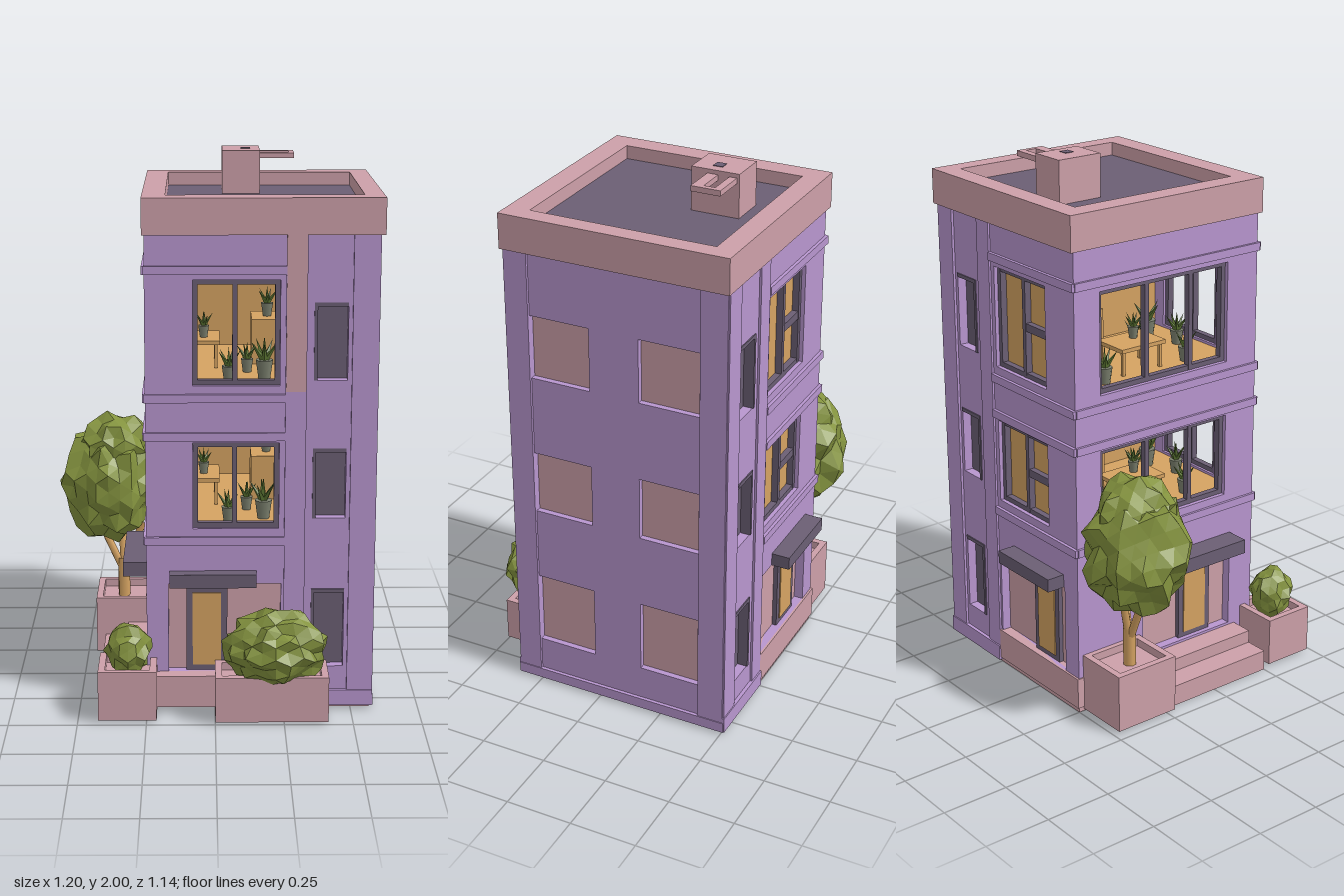
import * as THREE from 'three';

const mat = (name, color, extra = {}) => {
  const m = new THREE.MeshStandardMaterial({ color, ...extra });
  m.name = name;
  return m;
};

export function createModel() {
  const root = new THREE.Group();
  root.name = 'townhouse';
  const lilac = mat('lilac wall', 0xb896cf);
  const pink = mat('pink stone', 0xcda0a9);
  const slate = mat('slate purple', 0x6b5f74);
  const tan = mat('warm timber', 0xd5a362);
  const leaf = mat('foliage green', 0x84933f, { flatShading: true });
  const plant = mat('houseplant green', 0x5f7a35, { flatShading: true });
  const potGrey = mat('pot grey', 0x7d8270);

  const add = (parent, name, geo, m) => {
    const mesh = new THREE.Mesh(geo, m);
    mesh.name = name;
    parent.add(mesh);
    return mesh;
  };
  // Box given by its limits on each axis
  const box = (parent, name, m, x0, x1, y0, y1, z0, z1) => {
    const b = add(parent, name, new THREE.BoxGeometry(Math.abs(x1 - x0), y1 - y0, Math.abs(z1 - z0)), m);
    b.position.set((x0 + x1) / 2, (y0 + y1) / 2, (z0 + z1) / 2);
    return b;
  };
  const rect = (P, a, b, c, d) => {
    const p = new P();
    p.moveTo(a, c);
    p.lineTo(b, c);
    p.lineTo(b, d);
    p.lineTo(a, d);
    p.closePath();
    return p;
  };
  // Slab with rectangular holes [u0, u1, v0, v1]
  const pierced = (outer, holes, depth) => {
    const s = rect(THREE.Shape, ...outer);
    holes.forEach(h => s.holes.push(rect(THREE.Path, ...h)));
    return new THREE.ExtrudeGeometry(s, { depth, bevelEnabled: false });
  };
  const TOP = 1.78, T = 0.05;
  const floors = [[0.69, 1.01], [1.22, 1.6]];
  const smallRows = [[0.16, 0.46], [0.73, 0.99], [1.24, 1.52]];

  // One side of the house: u runs along it, d is its distance outward; s mirrors u
  const side = (name, angle, s, d, u0, u1, holes) => {
    const g = new THREE.Group();
    g.name = name;
    g.rotation.y = angle;
    root.add(g);
    const flip = ([a, b, c, e]) => (s > 0 ? [a, b, c, e] : [-b, -a, c, e]);
    const wall = add(g, 'wall', pierced(flip([u0, u1, 0.02, TOP]), holes.map(flip), T), lilac);
    wall.position.z = d - T;
    return (n, m, a, b, y0, y1, z0, z1) => box(g, n, m, s * a, s * b, y0, y1, d + z0, d + z1);
  };
  // Slate window frame with mullions and optional short transom
  const frame = (put, a, b, y0, y1, mullions, transom) => {
    const t = 0.018;
    [a, b - t, ...mullions.map(m => m - t / 2)].forEach(u => put('windowFrame', slate, u, u + t, y0, y1, -0.04, -0.015));
    [y0, y1 - t].forEach(y => put('windowFrame', slate, a, b, y, y + t, -0.04, -0.016));
    if (transom) put('windowTransom', slate, a, mullions[0], (y0 + y1) / 2 - 0.015, (y0 + y1) / 2 + 0.015, -0.04, -0.017);
  };
  // Ground-floor entrance: recessed pink wall, framed door
  const entrance = (put, a, b, door) => {
    put('entranceWall', pink, a - 0.01, b + 0.01, 0.13, 0.49, -0.06, -0.035);
    put('doorFrame', slate, door - 0.075, door + 0.075, 0.14, 0.47, -0.036, -0.018);
    put('doorPanel', tan, door - 0.052, door + 0.052, 0.16, 0.44, -0.02, -0.014);
  };

  // Front and back share one layout, mirrored
  const bay = [[-0.17, 0.24, 0.14, 0.48], ...floors.map(f => [-0.08, 0.23, ...f])];
  const slots = smallRows.map(r => [0.35, 0.47, ...r]);
  [['front', 0, 1, 0.33], ['back', Math.PI, -1, 0.5]].forEach(([name, angle, s, d]) => {
    const put = side(name, angle, s, d, -0.25, 0.57, [...bay, ...slots]);
    floors.forEach(([y0, y1]) => frame(put, -0.08, 0.23, y0, y1, [0.07], s < 0));
    smallRows.forEach(([y0, y1]) => {
      put('sideWindow', slate, 0.34, 0.48, y0 - 0.01, y1 + 0.01, -0.06, -0.035);
      put('sideWindowTrim', slate, 0.35, 0.362, y0, y1, -0.035, 0.004);
      put('sideWindowHead', slate, 0.35, 0.47, y1 - 0.014, y1, -0.035, 0.004);
    });
    entrance(put, -0.17, 0.24, -0.03);
    put('doorAwning', slate, -0.165, 0.15, 0.48, 0.53, -0.01, s > 0 ? 0.05 : 0.07);
    [[0.63, 0.66], [1.02, 1.05], [1.16, 1.19], [1.62, 1.65]].forEach(([y0, y1]) =>
      put('floorBand', lilac, -0.255, 0.25, y0, y1, -0.02, 0.012));
    put('cornerPilaster', lilac, 0.485, 0.575, 0.02, TOP, -0.02, 0.01);
    put('bayPilaster', lilac, 0.25, 0.325, 0.02, TOP, -0.02, 0.008);
    if (s > 0) put('pinkStrip', pink, 0.252, 0.323, 1.2, TOP, 0.004, 0.011);
    put('entranceBase', pink, -0.255, s > 0 ? 0 : 0.25, 0.02, 0.14, -0.05, s > 0 ? 0.05 : 0.008);
    put('plinth', lilac, 0.25, 0.58, 0.01, 0.07, -0.02, 0.014);
  });

  // Left side of the plan: wide open windows and a side door (u = z)
  const putL = side('openSide', -Math.PI / 2, 1, 0.25, -0.5, 0.33,
    [[-0.2, 0.22, 0.14, 0.48], ...floors.map(f => [-0.39, 0.19, ...f])]);
  floors.forEach(([y0, y1]) => frame(putL, -0.39, 0.19, y0, y1, [-0.17, 0.03], false));
  entrance(putL, -0.2, 0.22, 0.06);
  putL('sideAwning', slate, -0.17, 0.22, 0.47, 0.525, -0.01, 0.09);
  [[0.63, 0.66], [1.02, 1.05], [1.16, 1.19], [1.62, 1.65]].forEach(([y0, y1]) =>
    putL('floorBand', lilac, -0.5, 0.335, y0, y1, -0.02, 0.01));
  putL('sideStepUpper', pink, -0.22, 0.25, 0, 0.13, -0.04, 0.09);
  putL('sideStepLower', pink, -0.22, 0.25, 0, 0.08, 0.09, 0.18);

  // Closed side: six blind pink panels (u = -z)
  const blind = [[0.18, 0.46], [0.74, 0.98], [1.28, 1.52]].flatMap(r => [[-0.25, -0.02, ...r], [0.17, 0.4, ...r]]);
  const putR = side('blindSide', Math.PI / 2, 1, 0.57, -0.33, 0.5, blind);
  blind.forEach(([a, b, y0, y1]) => putR('blindPanel', pink, a - 0.01, b + 0.01, y0 - 0.01, y1 + 0.01, -0.06, -0.022));
  [[-0.34, -0.25], [0.405, 0.505]].forEach(([a, b]) => putR('cornerPilaster', lilac, a, b, 0.02, TOP, -0.02, 0.01));
  putR('plinth', lilac, -0.34, 0.51, 0.01, 0.05, -0.02, 0.013);

  // Underside, roof and parapet
  box(root, 'baseSlab', pink, -0.25, 0.57, 0, 0.03, -0.5, 0.33);
  box(root, 'roofDeck', slate, -0.2, 0.55, 1.78, 1.84, -0.46, 0.28);
  const parapet = add(root, 'parapet',
    pierced([-0.258, 0.595, -0.345, 0.515], [[-0.175, 0.525, -0.26, 0.435]], 0.13), pink);
  parapet.rotation.x = -Math.PI / 2;
  parapet.position.y = 1.76;

  // Roof vent box with a projecting open frame
  box(root, 'roofVent', pink, 0.03, 0.17, 1.83, 2, -0.35, -0.17);
  box(root, 'ventOpening', slate, 0.1, 0.135, 1.998, 2.002, -0.27, -0.235);
  const arm = add(root, 'ventFrame', pierced([0.14, 0.3, 0.23, 0.34], [[0.17, 0.28, 0.27, 0.312]], 0.02), pink);
  arm.rotation.x = -Math.PI / 2;
  arm.position.y = 1.965;

  // Ragged foliage: a ball whose vertices move in and out by a position hash
  const foliage = (parent, name, m, x, y, z, rx, ry, rz, detail, seed) => {
    const g = new THREE.IcosahedronGeometry(1, detail);
    const p = g.attributes.position, v = new THREE.Vector3();
    for (let i = 0; i < p.count; i++) {
      v.fromBufferAttribute(p, i);
      const q = v.toArray().map(c => Math.round(c * 1000));
      const h = Math.sin(q[0] * 12.9898 + q[1] * 78.233 + q[2] * 37.719 + seed) * 43758.5453;
      v.multiplyScalar(0.8 + 0.27 * (h - Math.floor(h)));
      p.setXYZ(i, v.x * rx, v.y * ry, v.z * rz);
    }
    g.computeVertexNormals();
    add(parent, name, g, m).position.set(x, y, z);
  };

  // Rooms and their furnishings
  const pottedPlant = (g, x, y, z, k, seed) => {
    const pot = add(g, 'plantPot', new THREE.CylinderGeometry(0.026 * k, 0.018 * k, 0.055 * k, 10), potGrey);
    pot.position.set(x, y + 0.0275 * k, z);
    for (let i = 0; i < 6; i++) {
      const blade = add(g, 'plantLeaf', new THREE.ConeGeometry(0.011 * k, 0.075 * k, 4).translate(0, 0.037 * k, 0), plant);
      blade.position.set(x, y + 0.05 * k, z);
      blade.rotation.set(i ? 0.6 : 0, i * 1.256 + seed, 0, 'YXZ');
    }
  };
  floors.forEach(([y0, y1], i) => {
    const g = new THREE.Group();
    g.name = 'room';
    root.add(g);
    const f = y0 - 0.01, c = y1 + 0.02;
    box(g, 'roomFloor', tan, -0.2, 0.3, f - 0.03, f, -0.45, 0.28);
    box(g, 'roomCeiling', tan, -0.2, 0.3, c, c + 0.02, -0.45, 0.28);
    box(g, 'roomInnerWall', tan, 0.28, 0.3, f, c, -0.45, 0.28);
    box(g, 'roomBackWall', tan, -0.2, 0.3, f, c, -0.46, -0.44);
    box(g, 'cabinet', tan, 0.14, 0.27, f, f + 0.17, -0.25, -0.08);
    box(g, 'tableTop', tan, -0.13, 0.02, f + 0.09, f + 0.105, -0.2, 0);
    [-0.12, 0].forEach(x => [-0.19, -0.02].forEach(z => box(g, 'tableLeg', tan, x, x + 0.012, f, f + 0.09, z, z + 0.012)));
    [[-0.04, 0.105, -0.08, 0.8], [0.05, 0, 0.2, 1], [0.18, 0, 0.16, 1.25], [0.12, 0, 0.05, 0.9],
      [-0.12, 0, 0.1, 1], [-0.13, 0, -0.28, 1.1], [0.2, 0.17, -0.16, 0.9]]
      .forEach(([x, h, z, k], j) => pottedPlant(g, x, f + h, z, k, i * 3 + j));
  });

  // Planters with soil-level recess
  const planter = (name, x0, x1, z0, z1, h) => {
    const rim = add(root, name, pierced([x0, x1, -z1, -z0], [[x0 + 0.025, x1 - 0.025, -z1 + 0.025, -z0 - 0.025]], h - 0.01), pink);
    rim.rotation.x = -Math.PI / 2;
    rim.position.y = 0.01;
    box(root, 'planterFill', pink, x0 + 0.02, x1 - 0.02, 0.012, h - 0.03, z0 + 0.02, z1 - 0.02);
  };
  planter('cornerPlanter', -0.425, -0.213, 0.28, 0.48, 0.195);
  planter('frontPlanter', 0, 0.41, 0.32, 0.5, 0.18);
  planter('treePlanter', -0.465, -0.245, -0.48, -0.22, 0.23);
  foliage(root, 'cornerBush', leaf, -0.315, 0.25, 0.38, 0.09, 0.105, 0.09, 2, 1);
  foliage(root, 'frontBush', leaf, 0.215, 0.275, 0.45, 0.195, 0.145, 0.12, 3, 2);

  // Tree with forked trunk
  const limb = (a, b, r) => add(root, 'treeTrunk',
    new THREE.TubeGeometry(new THREE.LineCurve3(new THREE.Vector3(...a), new THREE.Vector3(...b)), 1, r, 7), tan);
  limb([-0.36, 0.18, -0.35], [-0.36, 0.36, -0.35], 0.024);
  limb([-0.36, 0.3, -0.35], [-0.46, 0.52, -0.36], 0.015);
  limb([-0.36, 0.3, -0.35], [-0.28, 0.52, -0.32], 0.015);
  limb([-0.36, 0.3, -0.35], [-0.37, 0.55, -0.4], 0.015);
  foliage(root, 'treeCrown', leaf, -0.41, 0.68, -0.35, 0.19, 0.24, 0.205, 3, 3);
  foliage(root, 'treeCrownTop', leaf, -0.39, 0.82, -0.35, 0.14, 0.14, 0.15, 2, 4);
  return root;
}
